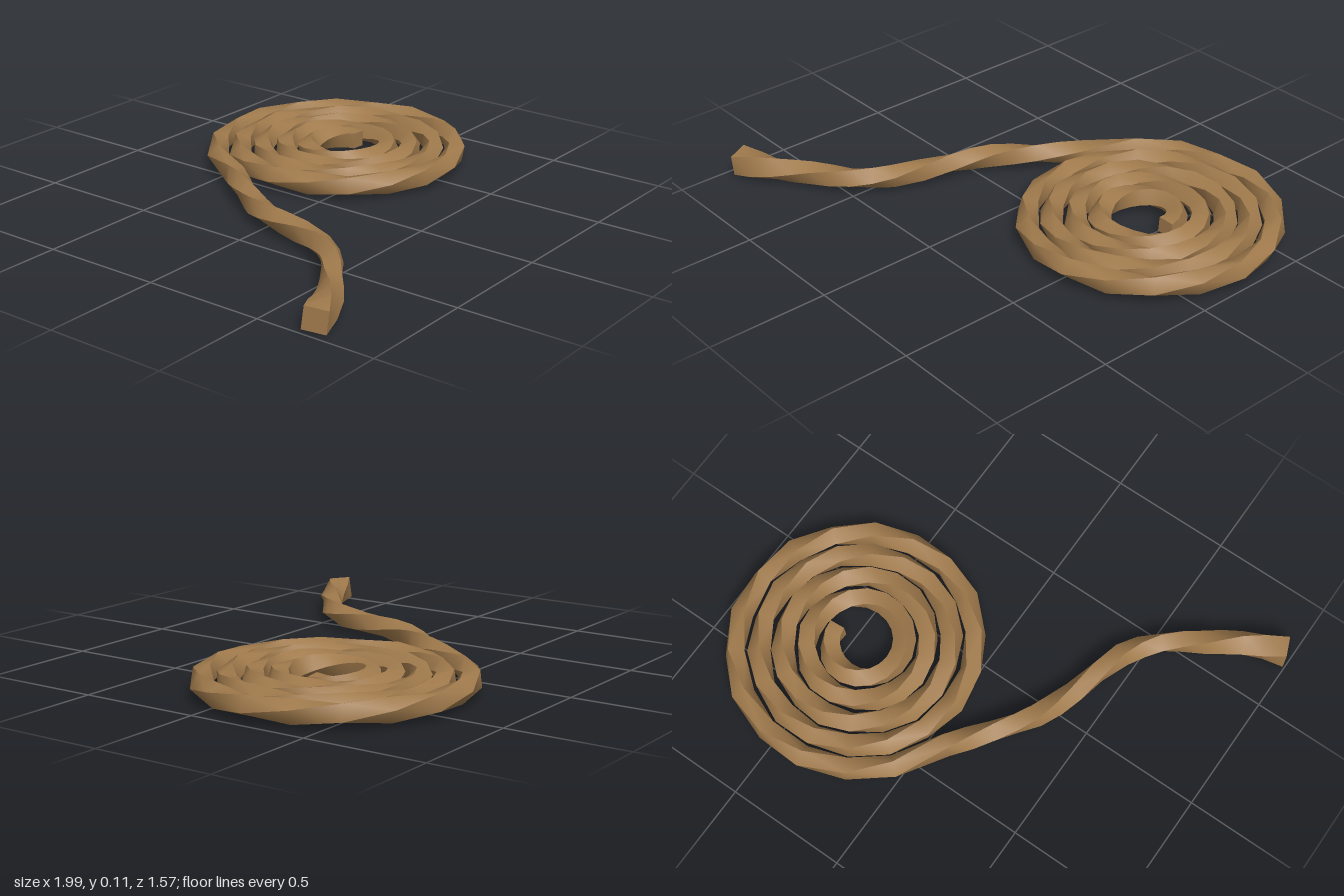
import * as THREE from 'three';

// Centre line of the rope: flat spiral outwards, then a loose wavy tail
function ropePath() {
  const points = [];
  for (let i = 0; i <= 79; i++) {
    const t = THREE.MathUtils.degToRad(i * 20);
    const r = 0.116 + 0.096 * t / (Math.PI * 2);
    points.push(new THREE.Vector3(0.45 + r * Math.cos(t), 0.065, -0.222 - r * Math.sin(t)));
  }
  const tail = new THREE.CatmullRomCurve3([
    [-0.08, -0.38], [-0.2, -0.22], [-0.305, -0.07], [-0.37, 0.1],
    [-0.44, 0.34], [-0.54, 0.475], [-0.68, 0.575], [-0.81, 0.665], [-0.975, 0.735],
  ].map(([x, z]) => new THREE.Vector3(x, 0.065, z)));
  const steps = 16;
  for (let i = 0; i <= steps; i++) {
    const p = tail.getPoint(i / steps);
    p.y -= 0.008 * THREE.MathUtils.smoothstep(i / steps, 0.7, 1);
    points.push(p);
  }
  return points;
}

// Square section swept along the path while it twists; flares at the tail end
function twistedRope(path) {
  const last = path.length - 1;
  const up = new THREE.Vector3(0, 1, 0);
  const twist = (Math.PI / 2) / 0.38;
  const lengthLeft = new Array(path.length).fill(0);
  for (let i = last - 1; i >= 0; i--) lengthLeft[i] = lengthLeft[i + 1] + path[i].distanceTo(path[i + 1]);

  const rings = path.map((p, i) => {
    const tangent = path[Math.min(i + 1, last)].clone().sub(path[Math.max(i - 1, 0)]).setY(0).normalize();
    const side = tangent.clone().cross(up);
    const radius = 0.047 + 0.018 * (1 - THREE.MathUtils.smoothstep(lengthLeft[i], 0, 0.35));
    const angle = THREE.MathUtils.degToRad(218) + twist * lengthLeft[i];
    return [0, 1, 2, 3].map((j) => {
      const a = angle + j * Math.PI / 2;
      return p.clone().addScaledVector(up, radius * Math.cos(a)).addScaledVector(side, radius * Math.sin(a));
    });
  });

  const positions = [];
  const index = [];
  const add = (v) => positions.push(v.x, v.y, v.z) / 3 - 1;

  // Four long faces, each with its own vertices so the corners stay sharp
  for (let j = 0; j < 4; j++) {
    const start = positions.length / 3;
    rings.forEach((ring) => { add(ring[j]); add(ring[(j + 1) % 4]); });
    for (let i = 0; i < last; i++) {
      const a = start + i * 2;
      index.push(a, a + 1, a + 3, a, a + 3, a + 2);
    }
  }
  // End caps
  for (const ring of [rings[last], [...rings[0]].reverse()]) {
    const [a, b, c, d] = ring.map(add);
    index.push(a, b, c, a, c, d);
  }

  const geometry = new THREE.BufferGeometry();
  geometry.setAttribute('position', new THREE.Float32BufferAttribute(positions, 3));
  geometry.setIndex(index);
  geometry.computeVertexNormals();
  return geometry;
}

export function createModel() {
  const group = new THREE.Group();
  group.name = 'coiledRope';
  const rope = new THREE.Mesh(
    twistedRope(ropePath()),
    new THREE.MeshStandardMaterial({ color: 0xa07a4c }),
  );
  rope.name = 'rope';
  group.add(rope);
  return group;
}
